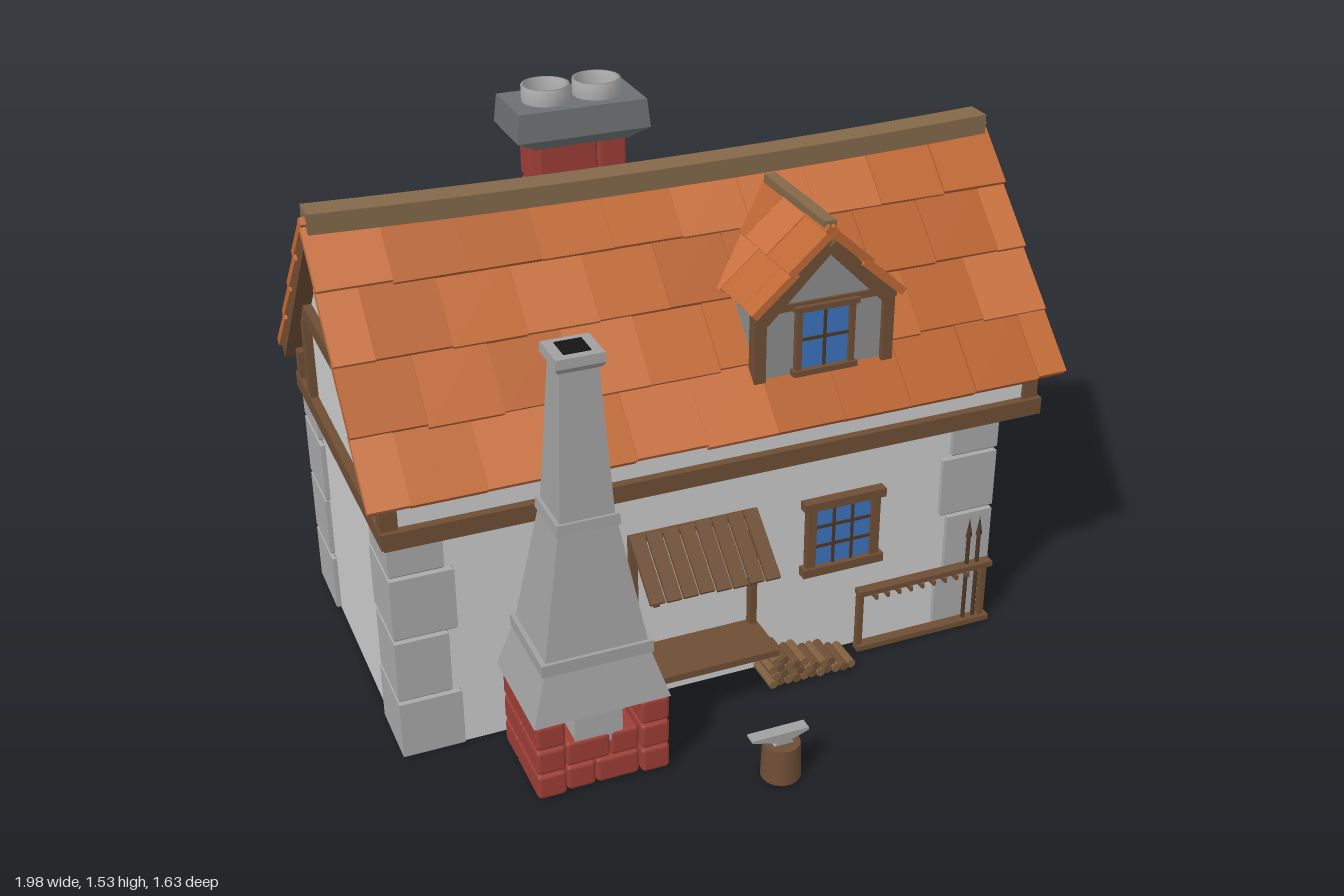
import * as THREE from 'three';
import { RoundedBoxGeometry } from 'three/addons/geometries/RoundedBoxGeometry.js';

const mat = (color, flatShading = true, side = THREE.FrontSide) =>
  new THREE.MeshStandardMaterial({ color, flatShading, side });
const M = {
  wall: mat(0xdcdcdc, true, THREE.DoubleSide), grey: mat(0x8c8c8c), stone: mat(0xa8a8a8), iron: mat(0xa0a0a0),
  wood: mat(0x6e4e35), dark: mat(0x4c3625), plank: mat(0x80603f), ridge: mat(0x84684a),
  brick: mat(0x9c3d36, false), glass: mat(0x3a72bc, true, THREE.DoubleSide), cap: mat(0x6c7072), black: mat(0x151515),
  pot: mat(0xb0b0b0, false, THREE.DoubleSide), round: mat(0x6e4e35, false),
  tiles: [0xc06a36, 0xb86433, 0xc87140].map(c => mat(c)),
};

let seed = 7;
const rnd = () => (seed = (seed * 16807) % 2147483647) / 2147483647;

function add(parent, name, geo, material, x = 0, y = 0, z = 0) {
  const m = new THREE.Mesh(geo, material);
  m.name = name;
  m.position.set(x, y, z);
  parent.add(m);
  return m;
}
function group(parent, name, x = 0, y = 0, z = 0, ry = 0) {
  const g = new THREE.Group();
  g.name = name;
  g.position.set(x, y, z);
  g.rotation.y = ry;
  parent.add(g);
  return g;
}
// Box given by its limits on each axis
const span = (p, name, m, x0, x1, y0, y1, z0, z1) =>
  add(p, name, new THREE.BoxGeometry(x1 - x0, y1 - y0, z1 - z0), m, (x0 + x1) / 2, (y0 + y1) / 2, (z0 + z1) / 2);
const brick = (p, x0, x1, y0, y1, z0, z1) => add(p, 'brick',
  new RoundedBoxGeometry(x1 - x0, y1 - y0, z1 - z0, 1, 0.012), M.brick, (x0 + x1) / 2, (y0 + y1) / 2, (z0 + z1) / 2);
// Four walls without floor or lid
const openWalls = (p, name, m, x0, x1, y0, y1, z0, z1) =>
  add(p, name, new THREE.CylinderGeometry(Math.SQRT1_2, Math.SQRT1_2, 1, 4, 1, true).rotateY(Math.PI / 4)
    .scale(x1 - x0, y1 - y0, z1 - z0), m, (x0 + x1) / 2, (y0 + y1) / 2, (z0 + z1) / 2);
// Four-sided taper standing on y
function taper(p, name, m, w0, d0, w1, d1, h, x, y, z) {
  const g = new THREE.BoxGeometry(1, h, 1), a = g.attributes.position;
  for (let i = 0; i < a.count; i++) {
    const top = a.getY(i) > 0;
    a.setXYZ(i, a.getX(i) * (top ? w1 : w0), a.getY(i), a.getZ(i) * (top ? d1 : d0));
  }
  return add(p, name, g, m, x, y + h / 2, z);
}
const prism = (pts, depth, bevel = 0) => new THREE.ExtrudeGeometry(new THREE.Shape(pts.map(q => new THREE.Vector2(...q))),
  { depth, bevelEnabled: bevel > 0, bevelSize: bevel, bevelThickness: bevel, bevelOffset: -bevel, bevelSegments: 1 });

// Gable roof with its ridge along local x at the origin
function gableRoof(parent, name, len, run, drop, rows, cols, sag, beam) {
  const g = group(parent, name), L = Math.hypot(run, drop), dip = x => -sag * (1 - (2 * x / len) ** 2);
  for (const turn of [0, Math.PI]) {
    const side = group(g, 'roofSide', 0, 0, 0, turn), slope = group(side, 'slope');
    slope.rotation.x = Math.atan2(drop, run);
    span(slope, 'roofDeck', M.wood, -len / 2 + 0.02, len / 2 - 0.02, -0.05, -0.034, 0.04, L - 0.02);
    for (const s of [-1, 1])
      span(slope, 'rakeBoard', M.wood, s * (len / 2 - 0.02) - 0.0125, s * (len / 2 - 0.02) + 0.0125, -0.06, -0.02, 0.045, L - 0.01);
    const rowL = L / (rows + 0.12), w = len / cols;
    for (let r = 0; r < rows; r++) {
      const shift = (r % 2) * w * 0.45;
      for (let c = 0; c <= cols; c++) {
        const x0 = Math.max(-len / 2, -len / 2 + c * w - shift), x1 = Math.min(len / 2, -len / 2 + (c + 1) * w - shift);
        if (x1 - x0 < 0.02) continue;
        const x = (x0 + x1) / 2, l = rowL * 1.12 + (rnd() - 0.5) * 0.02;
        const t = add(slope, 'roofTile', new THREE.BoxGeometry(x1 - x0 - 0.001, 0.022, l),
          M.tiles[Math.floor(rnd() * 3)], x, -0.013 + dip(x) * 0.6 + rnd() * 0.004, (r + 0.56) * rowL);
        t.rotation.set(-0.07, 0, (rnd() - 0.5) * 0.03);
      }
    }
  }
  const cap = new THREE.BoxGeometry(len - 0.03, beam * 0.7, beam, 12), a = cap.attributes.position;
  for (let i = 0; i < a.count; i++) a.setY(i, a.getY(i) + dip(a.getX(i)));
  add(g, 'ridgeBeam', cap, M.ridge, 0, -beam * 0.17, 0);
  return g;
}

// Arched plank door facing +z, standing on y = 0
function door(parent, x, z, ry, scale) {
  const g = group(parent, 'door', x, 0.01, z, ry), arch = (w, s) => s.moveTo(-w, 0).lineTo(w, 0).lineTo(w, 0.33)
    .absellipse(0, 0.33, w, w + 0.005, 0, Math.PI, false).lineTo(-w, 0);
  g.scale.setScalar(scale);
  const frame = arch(0.138, new THREE.Shape());
  frame.holes.push(arch(0.118, new THREE.Path()));
  add(g, 'doorFrame', new THREE.ExtrudeGeometry(frame, { depth: 0.022, bevelEnabled: false }), M.wood);
  add(g, 'doorBack', new THREE.ShapeGeometry(arch(0.12, new THREE.Shape())), M.dark, 0, 0, 0.006);
  for (let i = -3; i <= 3; i++) {
    const h = 0.33 + Math.sqrt(0.0145 - (i * 0.033) ** 2) - 0.006;
    span(g, 'doorPlank', M.plank, i * 0.033 - 0.0145, i * 0.033 + 0.0145, 0.005, h, 0.005, 0.015);
  }
  for (const y of [0.08, 0.285]) {
    span(g, 'hinge', M.iron, -0.115, 0.1, y - 0.008, y + 0.008, 0.012, 0.022);
    add(g, 'hingeTip', new THREE.CylinderGeometry(0.016, 0.016, 0.01, 4).rotateX(Math.PI / 2), M.iron, -0.1, y, 0.018);
  }
  add(g, 'doorHandle', new THREE.TorusGeometry(0.014, 0.004, 6, 12), M.iron, 0.085, 0.19, 0.022);
}
// Window facing +z, centred on its origin, its frame set through the wall
function windowUnit(parent, x, y, z, ry, w, h, cols, rows, f = 0.022) {
  const g = group(parent, 'window', x, y, z, ry);
  span(g, 'glass', M.glass, -w / 2, w / 2, -h / 2, h / 2, 0, 0.008);
  for (const s of [-1, 1]) {
    add(g, 'windowPost', new THREE.BoxGeometry(f, h, 0.03), M.wood, s * (w + f) / 2, 0, 0.004);
    add(g, 'windowRail', new THREE.BoxGeometry(w + 3 * f, f, 0.04), M.wood, 0, s * (h + f) / 2, 0.006);
  }
  for (let i = 1; i < cols; i++) add(g, 'glazingBar', new THREE.BoxGeometry(0.008, h, 0.026), M.dark, w * (i / cols - 0.5), 0, 0);
  for (let i = 1; i < rows; i++) add(g, 'glazingBar', new THREE.BoxGeometry(w, 0.008, 0.026), M.dark, 0, h * (i / rows - 0.5), 0);
}

export function createModel() {
  const root = new THREE.Group();
  root.name = 'cottage';
  const RZ = -0.15;

  // Lower walls, overhanging gabled upper storey
  openWalls(root, 'lowerWalls', M.wall, -0.93, 0.8, 0.01, 0.7, -0.61, 0.32);
  const gable = [[-0.32, 0.68], [0.61, 0.68], [0.61, 0.79], [0.15, 1.31], [-0.32, 0.79]];
  add(root, 'upperStorey', prism(gable, 1.83).rotateY(Math.PI / 2), M.wall, -0.93, 0, 0);
  add(root, 'gablePanel', prism(gable, 0.008).rotateY(Math.PI / 2), M.grey, 0.9, 0, 0);

  // Corner stones wrapping round the wall corners
  const rows = [[0.01, 0.19], [0.19, 0.38], [0.38, 0.57], [0.57, 0.665]];
  for (const sx of [-1, 1]) for (const sz of [-1, 1]) rows.forEach(([y0, y1], i) => {
    const w = i % 2 ? 0.145 : 0.17, d = i % 2 ? 0.185 : 0.2, t = 0.016, b = 0.007;
    const L = [[0, 0], [w, 0], [w, t], [t, t], [t, d], [0, d]].map(([u, v]) => [-sx * u, sz * v]);
    add(root, 'cornerStone', prism(L, y1 - y0 - 2 * b, b).rotateX(-Math.PI / 2), M.stone,
      sx > 0 ? 0.814 : -0.944, y0 + b, sz > 0 ? 0.334 : -0.624);
  });

  // Timber frame
  for (const z of [0.32, -0.61]) span(root, 'sideBeam', M.wood, -0.95, 0.94, 0.66, 0.71, z - 0.025, z + 0.025);
  for (const x of [-0.93, 0.91]) {
    span(root, 'gableBeam', M.wood, x - 0.025, x + 0.025, 0.662, 0.708, -0.635, 0.34);
    span(root, 'collarBeam', M.wood, x - 0.025, x + 0.025, 0.965, 1.01, -0.445, 0.145);
    for (const z of [0.31, 0.165, -0.47, -0.6])
      span(root, 'gablePost', M.wood, x - 0.022, x + 0.022, 0.7, z > 0.3 || z < -0.55 ? 0.79 : 0.95, z - 0.022, z + 0.022);
  }
  for (const z of [0.045, -0.345]) {
    span(root, 'doorPost', M.dark, 0.79, 0.815, 0.01, 0.67, z - 0.025, z + 0.025);
    add(root, 'brace', prism([[0.8, 0.45], [0.86, 0.54], [0.93, 0.67], [0.8, 0.67]], 0.04), M.wood, 0, 0, z - 0.02);
  }

  // Main roof
  gableRoof(root, 'mainRoof', 1.98, 0.527, 0.585, 4, 10, 0.02, 0.08).position.set(0, 1.378, RZ);

  // Front gable: door, window and crossed swords
  door(root, 0.8, RZ, Math.PI / 2, 1);
  windowUnit(root, 0.908, 1.11, RZ, Math.PI / 2, 0.135, 0.17, 2, 2);
  for (const s of [-1, 1]) {
    const sword = group(root, 'sword', 0.918 + s * 0.004, 0.845, -0.17);
    sword.rotation.x = s * 0.72;
    taper(sword, 'blade', M.iron, 0.004, 0.012, 0.008, 0.028, 0.21, 0, -0.15, 0);
    span(sword, 'guard', M.dark, -0.007, 0.007, 0.06, 0.074, -0.035, 0.035);
    span(sword, 'grip', M.wood, -0.006, 0.006, 0.07, 0.125, -0.008, 0.008);
    add(sword, 'pommel', new THREE.SphereGeometry(0.011, 8, 6), M.iron, 0, 0.13, 0);
  }

  // Roof dormer
  const dormer = group(root, 'dormer', 0.285, 0, 0);
  span(dormer, 'dormerWalls', M.grey, -0.19, 0.19, 0.88, 1.1, 0, 0.265);
  add(dormer, 'dormerGable', prism([[-0.2, 1.1], [0.2, 1.1], [0, 1.29]], 0.3), M.grey, 0, 0, -0.03);
  windowUnit(dormer, 0, 0.995, 0.265, 0, 0.14, 0.17, 2, 2, 0.016);
  for (const s of [-1, 1]) span(dormer, 'dormerPost', M.wood, s * 0.188 - 0.016, s * 0.188 + 0.016, 0.89, 1.1, 0.24, 0.28);
  span(dormer, 'dormerBeam', M.wood, -0.21, 0.21, 1.085, 1.105, 0.245, 0.278);
  const dr = gableRoof(dormer, 'dormerRoof', 0.4, 0.225, 0.225, 2, 3, 0, 0.035);
  dr.position.set(0, 1.32, 0.1);
  dr.rotation.y = Math.PI / 2;

  // Rear wing with its own door and window
  const wing = group(root, 'rearWing', -0.525, 0, 0);
  openWalls(wing, 'wingWalls', M.wall, -0.245, 0.245, 0.01, 0.9, -0.785, -0.55);
  add(wing, 'wingGable', prism([[-0.25, 0.88], [0.25, 0.88], [0, 1.07]], 0.35), M.grey, 0, 0, -0.785);
  for (const s of [-1, 1]) {
    span(wing, 'wingPost', M.wood, s * 0.235 - 0.022, s * 0.235 + 0.022, 0.01, 0.88, -0.797, -0.75);
    span(wing, 'wingSideBeam', M.wood, s * 0.245 - 0.02, s * 0.245 + 0.02, 0.64, 0.685, -0.795, -0.6);
  }
  for (const y of [0.64, 0.87]) span(wing, 'wingBeam', M.wood, -0.26, 0.26, y, y + 0.04, -0.802, -0.765);
  windowUnit(wing, 0, 0.78, -0.783, Math.PI, 0.13, 0.15, 2, 2, 0.016);
  door(wing, 0, -0.783, Math.PI, 0.87);
  const wr = gableRoof(wing, 'wingRoof', 0.4, 0.315, 0.225, 3, 3, 0, 0.04);
  wr.position.set(0, 1.1, -0.613);
  wr.rotation.y = Math.PI / 2;

  // Brick chimney with two pots
  const chimney = group(root, 'chimney', -0.16, 0, -0.43);
  span(chimney, 'mortar', M.cap, -0.115, 0.115, 0.85, 1.4, -0.075, 0.075);
  for (let r = 0; r < 4; r++) {
    const y = 0.84 + r * 0.14, c = r % 2 ? 0.045 : -0.045;
    for (const z of [-0.043, 0.043]) {
      brick(chimney, -0.13, c, y, y + 0.137, z - 0.043, z + 0.043);
      brick(chimney, c, 0.13, y, y + 0.137, z - 0.043, z + 0.043);
    }
  }
  taper(chimney, 'capFlare', M.cap, 0.27, 0.17, 0.38, 0.215, 0.03, 0, 1.385, 0);
  taper(chimney, 'cap', M.cap, 0.385, 0.215, 0.37, 0.2, 0.08, 0, 1.415, 0);
  for (const s of [-1, 1]) {
    const ring = [[0.06, 0], [0.068, 0], [0.068, 0.05], [0.06, 0.05], [0.06, 0]].map(p => new THREE.Vector2(...p));
    add(chimney, 'chimneyPot', new THREE.LatheGeometry(ring, 20), M.pot, s * 0.074, 1.49, 0);
    add(chimney, 'flue', new THREE.CircleGeometry(0.061, 20).rotateX(-Math.PI / 2), M.black, s * 0.074, 1.499, 0);
  }

  // Forge: brick hearth under a tapered stone flue
  const forge = group(root, 'forge', -0.488, 0, 0.475);
  for (let r = 0; r < 3; r++) {
    const y = 0.01 + r * 0.077, k = r % 2 ? 0.02 : -0.02;
    for (const s of [-1, 1]) {
      brick(forge, s * 0.142 - 0.04, s * 0.142 + 0.04, y, y + 0.075, k, 0.158);
      brick(forge, s * 0.142 - 0.04, s * 0.142 + 0.04, y, y + 0.075, -0.12, k);
    }
    if (r < 2) for (const s of [-1, 1]) brick(forge, s > 0 ? k : -0.1, s > 0 ? 0.1 : k, y, y + 0.075, 0.06, 0.15);
  }
  span(forge, 'hearthBed', M.grey, -0.1, 0.1, 0.1, 0.14, -0.165, 0.08);
  span(forge, 'hearthBack', M.stone, -0.1, 0.1, 0.14, 0.25, -0.165, 0.03);
  span(forge, 'hearthFront', M.stone, -0.075, 0.055, 0.135, 0.27, 0.05, 0.145);
  for (const [w0, d0, w1, d1, y0, y1] of [[0.37, 0.31, 0.285, 0.25, 0.235, 0.37], [0.3, 0.255, 0.3, 0.255, 0.365, 0.4],
    [0.275, 0.235, 0.155, 0.15, 0.4, 0.74], [0.17, 0.165, 0.165, 0.16, 0.735, 0.765],
    [0.145, 0.145, 0.1, 0.09, 0.765, 1.16], [0.11, 0.1, 0.13, 0.12, 1.16, 1.175], [0.13, 0.12, 0.125, 0.115, 1.175, 1.2]])
    taper(forge, 'flueStage', M.iron, w0, d0, w1, d1, y1 - y0, 0, y0, 0);
  span(forge, 'flueHole', M.black, -0.035, 0.035, 1.19, 1.203, -0.035, 0.035);

  // Market stall: frame, counter and slatted awning
  const stall = group(root, 'stall', -0.115, 0, 0.33);
  for (const s of [-1, 1]) {
    span(stall, 'stallPost', M.wood, s * 0.175 - 0.01, s * 0.175 + 0.01, 0.16, 0.54, -0.02, 0.015);
    const arm = add(stall, 'awningArm', new THREE.BoxGeometry(0.016, 0.016, 0.19), M.wood, s * 0.165, 0.47, 0.075);
    arm.rotation.x = 0.68;
  }
  span(stall, 'counter', M.wood, -0.19, 0.19, 0.16, 0.18, -0.02, 0.155);
  span(stall, 'stallRail', M.wood, -0.185, 0.185, 0.525, 0.54, -0.02, 0.015);
  for (let i = 0; i < 8; i++) {
    const p = add(stall, 'awningSlat', new THREE.BoxGeometry(0.041, 0.012, 0.19 + rnd() * 0.015), M.wood, (i - 3.5) * 0.047, 0.48, 0.08);
    p.rotation.x = 0.68;
  }

  // Front window
  windowUnit(root, 0.333, 0.41, 0.325, 0, 0.17, 0.185, 3, 3, 0.026);

  // Sloping pile of split logs
  for (let r = 0; r < 4; r++) for (let i = 0; i < 11 - r * 3; i++)
    add(root, 'log', new THREE.CylinderGeometry(0.0135, 0.0135, 0.095 + rnd() * 0.015, 7).rotateX(Math.PI / 2),
      i % 2 ? M.wood : M.plank, 0.085 + i * 0.0245 + (r % 2) * 0.012, 0.024 + r * 0.0225, 0.375 + rnd() * 0.006);

  // Rack with two spears
  const rack = group(root, 'weaponRack', 0.59, 0, 0.35);
  for (const y of [0.02, 0.205]) span(rack, 'rackRail', M.wood, -0.21, 0.22, y - 0.008, y + 0.008, -0.012, 0.02);
  for (const x of [-0.2, 0.2]) span(rack, 'rackPost', M.wood, x - 0.008, x + 0.008, 0.01, 0.21, -0.01, 0.01);
  for (let i = 0; i < 9; i++) span(rack, 'rackPeg', M.wood, -0.165 + i * 0.037, -0.157 + i * 0.037, 0.185, 0.2, 0, 0.03);
  for (const x of [0.145, 0.178]) {
    add(rack, 'spearShaft', new THREE.CylinderGeometry(0.006, 0.006, 0.3, 8), M.dark, x, 0.165, 0);
    add(rack, 'spearTip', new THREE.ConeGeometry(0.011, 0.06, 4), M.dark, x, 0.335, 0);
  }

  // Anvil on a stump
  const anvil = group(root, 'anvilStump', -0.052, 0, 0.768);
  add(anvil, 'stump', new THREE.CylinderGeometry(0.05, 0.054, 0.105, 16), M.round, 0, 0.063, 0);
  add(anvil, 'anvilBody', prism([[-0.03, 0.113], [0.03, 0.113], [0.02, 0.125], [0.07, 0.142], [0.07, 0.15],
    [-0.09, 0.15], [-0.09, 0.144], [-0.02, 0.125]], 0.034), M.iron, 0, 0, -0.017);
  return root;
}
